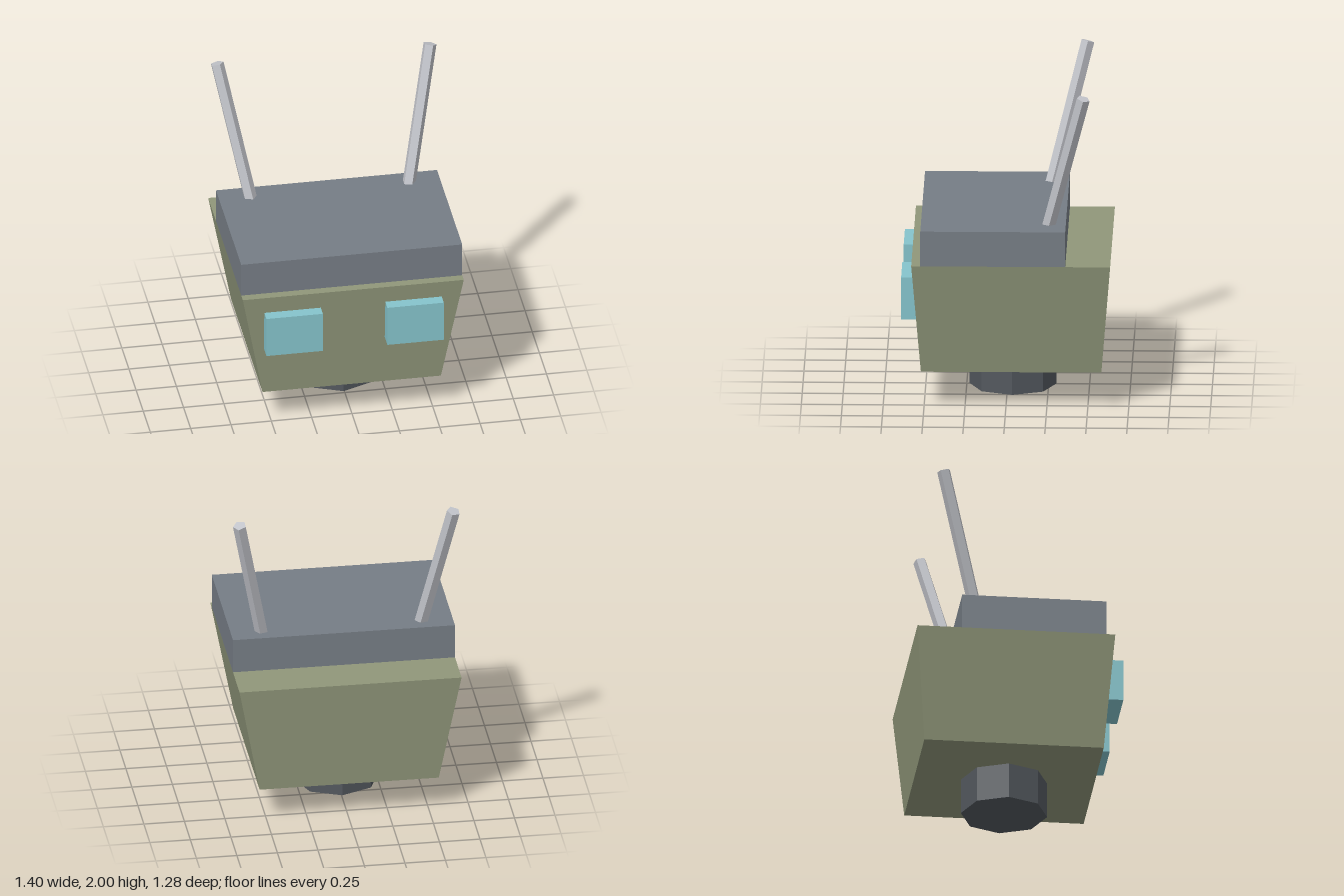
import * as THREE from 'three';

const mat = (name, color) => {
  const m = new THREE.MeshStandardMaterial({ color });
  m.name = name;
  return m;
};

export function createModel() {
  const olive = mat('olive', 0x90977a);
  const slate = mat('slate', 0x767d85);
  const cyan = mat('cyan', 0x85c4cc);
  const charcoal = mat('charcoal', 0x53585e);
  const silver = mat('silver', 0xc2c4ca);
  for (const m of [charcoal, silver]) m.flatShading = true;

  const group = new THREE.Group();
  const cx = -0.005, cz = -0.032;
  const add = (name, geometry, material, x, y, z) => {
    const mesh = new THREE.Mesh(geometry, material);
    mesh.name = name;
    mesh.position.set(x, y, z);
    group.add(mesh);
    return mesh;
  };

  // Neck: octagonal post under the head
  add('neck', new THREE.CylinderGeometry(0.265, 0.265, 0.235, 8), charcoal, cx, 0.1175, cz);

  // Head: box narrowing towards the bottom
  const headGeometry = new THREE.BoxGeometry(1.37, 0.705, 1.215);
  const p = headGeometry.attributes.position;
  for (let i = 0; i < p.count; i++) {
    if (p.getY(i) < 0) {
      p.setX(i, p.getX(i) * 0.807);
      p.setZ(i, p.getZ(i) * 0.907);
    }
  }
  headGeometry.computeVertexNormals();
  add('head', headGeometry, olive, cx, 0.5775, cz);

  // Cap: slab set towards the front of the head
  add('cap', new THREE.BoxGeometry(1.37, 0.22, 0.885), slate, cx, 1.04, 0.0775);

  for (const [side, s] of [['left', 1], ['right', -1]]) {
    // Eyes: blocks sunk into the face
    add(side + 'Eye', new THREE.BoxGeometry(0.35, 0.265, 0.14), cyan, cx + s * 0.375, 0.6875, 0.57);

    // Antennas: five-sided rods leaning outwards and back
    const base = new THREE.Vector3(cx + s * 0.486, 1.11, -0.252);
    const tip = new THREE.Vector3(cx + s * 0.66, 1.99, -0.475);
    const dir = tip.clone().sub(base);
    const rod = new THREE.CylinderGeometry(0.042, 0.042, dir.length(), 5, 1, false, Math.PI / 2);
    const mid = base.clone().add(tip).multiplyScalar(0.5);
    add(side + 'Antenna', rod, silver, mid.x, mid.y, mid.z)
      .quaternion.setFromUnitVectors(new THREE.Vector3(0, 1, 0), dir.normalize());
  }
  return group;
}
